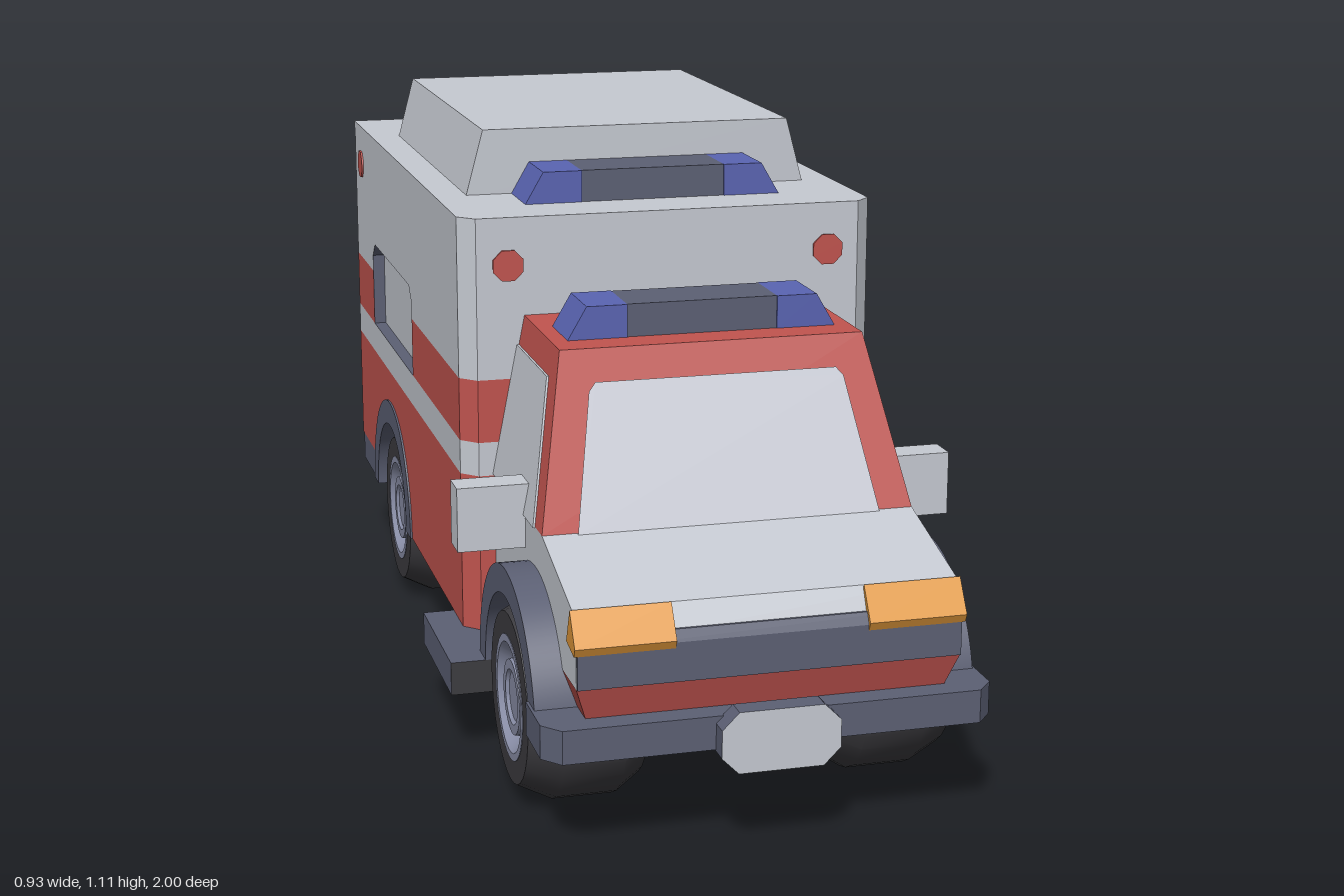
import * as THREE from 'three';
import { toCreasedNormals } from 'three/addons/utils/BufferGeometryUtils.js';

const mat = (name, color, side = THREE.FrontSide) => {
  const m = new THREE.MeshStandardMaterial({ color, side });
  m.name = name;
  return m;
};

export function createModel() {
  const white = mat('white paint', 0xc6cad2);
  const red = mat('red paint', 0xc1544f);
  const slate = mat('slate trim', 0x5c6074);
  const black = mat('tyre black', 0x3d3c40);
  const blue = mat('beacon blue', 0x5a64b2);
  const orange = mat('lamp orange', 0xe0983a);
  const steel = mat('wheel steel', 0x8a8fa8);
  const glass = mat('pale glass', 0xcbced8, THREE.DoubleSide);

  const root = new THREE.Group();
  root.name = 'ambulance';
  const add = (name, geo, material) => {
    const m = new THREE.Mesh(geo, material);
    m.name = name;
    root.add(m);
    return m;
  };
  const poly = (pts) => new THREE.Shape(pts.map(([a, b]) => new THREE.Vector2(a, b)));
  const extrude = (shape, depth) =>
    new THREE.ExtrudeGeometry(shape, { depth, bevelEnabled: false, curveSegments: 24 });
  // Box given by its limits
  const box = (x0, x1, y0, y1, z0, z1) =>
    new THREE.BoxGeometry(x1 - x0, y1 - y0, z1 - z0)
      .translate((x0 + x1) / 2, (y0 + y1) / 2, (z0 + z1) / 2);
  // Side outline in (z, y), extruded from x0 to x1
  const sideways = (shape, x0, x1) =>
    extrude(shape, x1 - x0).rotateY(-Math.PI / 2).translate(x1, 0, 0);
  // Plan outline in (x, z), extruded from y0 to y1
  const upward = (pts, y0, y1) =>
    extrude(poly(pts.map(([x, z]) => [x, -z])), y1 - y0).rotateX(-Math.PI / 2).translate(0, y0, 0);
  // Side slab mirrored to both sides
  const bothSides = (name, shape, x0, x1, material, crease) => {
    for (const s of [1, -1]) {
      let g = s > 0 ? sideways(shape, x0, x1) : sideways(shape, -x1, -x0);
      if (crease) g = toCreasedNormals(g, 0.5);
      add(name, g, material);
    }
  };

  // Rear body: core, front wall, coloured side walls with window recess
  add('bodyCore', box(-0.375, 0.375, 0.44, 0.96, -0.93, 0.27), white);
  add('bodyCoreLower', box(-0.345, 0.345, 0.25, 0.44, -0.93, 0.27), white);
  const bands = [[0.19, 0.495, red], [0.495, 0.56, white], [0.56, 0.68, red], [0.68, 0.95, white]];
  const nose = [[-0.4, 0.26], [0.4, 0.26], [0.37, 0.29], [-0.37, 0.29]];
  for (const [y0, y1, m] of bands) add('bodyFrontWall', upward(nose, y0, y1), m);
  add('bodyRoof', upward([[-0.4, -0.97], [0.4, -0.97], [0.4, 0.26], [0.37, 0.29],
    [-0.37, 0.29], [-0.4, 0.26]], 0.95, 0.985), white);

  const rect = (z0, z1, y0, y1) => poly([[z0, y0], [z1, y0], [z1, y1], [z0, y1]]);
  const lower = poly([[0.26, 0.19], [0.26, 0.495], [-0.965, 0.495], [-0.965, 0.25]]);
  lower.absarc(-0.54, 0.19, 0.2, Math.PI - Math.asin(0.3), 0, true);
  bothSides('lowerSideWall', lower, 0.375, 0.4, [red, slate]);
  bothSides('whiteSideBand', rect(-0.965, 0.26, 0.495, 0.56), 0.375, 0.4, [white, slate]);
  bothSides('redSideStripe', rect(-0.25, 0.26, 0.56, 0.68), 0.375, 0.4, [red, slate]);
  bothSides('redSideStripeRear', rect(-0.965, -0.745, 0.56, 0.68), 0.375, 0.4, [red, slate]);
  bothSides('upperSideWall', poly([[0.26, 0.68], [0.26, 0.95], [-0.965, 0.95], [-0.965, 0.68],
    [-0.745, 0.68], [-0.745, 0.715], [-0.715, 0.745], [-0.28, 0.745], [-0.25, 0.715],
    [-0.25, 0.68]]), 0.375, 0.4, [white, slate]);

  // Back door frame and red door panels
  for (const s of [1, -1]) {
    const [a, b] = s > 0 ? [0.345, 0.399] : [-0.399, -0.345];
    for (const [y0, y1, m] of [[0.25, 0.495, red], [0.495, 0.95, white]]) {
      const faces = Array(6).fill(m);
      faces[s > 0 ? 1 : 0] = slate;
      add('backDoorPost', box(a, b, y0, y1, -0.97, -0.92), faces);
    }
    add('doorPanel', box(s * 0.155 - 0.11, s * 0.155 + 0.11, 0.31, 0.5, -0.935, -0.925), red);
  }
  add('backDoorHeader', box(-0.36, 0.36, 0.92, 0.955, -0.969, -0.92),
    [white, white, white, slate, white, white]);

  // Small red marker lamps
  const dot = () => new THREE.CylinderGeometry(0.031, 0.031, 0.008, 8).rotateY(Math.PI / 8);
  for (const s of [1, -1]) {
    add('frontMarker', dot().rotateX(Math.PI / 2).translate(s * 0.31, 0.895, 0.29), red);
    add('sideMarker', dot().rotateZ(Math.PI / 2).translate(s * 0.4, 0.9, -0.88), red);
  }

  // Roof unit and light bars
  add('roofUnit', extrude(poly([[-0.34, 0.98], [0.34, 0.98], [0.305, 1.11], [-0.305, 1.11]]), 0.77)
    .translate(0, 0, -0.725), white);
  for (const [y, z, d] of [[0.985, 0.04, 0.13], [0.985, -0.85, 0.13], [0.8, 0.39, 0.12]]) {
    add('lightBarCentre', box(-0.14, 0.14, y, y + 0.06, z + 0.003, z + d - 0.003), slate);
    for (const s of [1, -1]) {
      const pts = [[0.14, 0], [0.25, 0], [0.215, 0.06], [0.14, 0.06]].map(([x, h]) => [s * x, y + h]);
      add('beacon', extrude(poly(pts), d).translate(0, 0, z), blue);
    }
  }

  // Cab: side outlines spread to a width that depends on height
  const halfWidth = (y) => y > 0.5 ? 0.34 - 0.2 * (y - 0.5)
    : 0.34 - 0.02 * Math.min(1, Math.max(0, (0.31 - y) / 0.06));
  const cabPart = (name, pts, m, extra = 0) => {
    const g = sideways(poly(pts), -1, 1);
    const p = g.attributes.position;
    for (let i = 0; i < p.count; i++) p.setX(i, Math.sign(p.getX(i)) * (halfWidth(p.getY(i)) + extra));
    g.computeVertexNormals();
    add(name, g, m);
  };
  cabPart('cabTop', [[0.28, 0.5], [0.69, 0.5], [0.575, 0.8], [0.28, 0.8]], red);
  cabPart('cabSideWindow', [[0.285, 0.498], [0.635, 0.498], [0.538, 0.745], [0.285, 0.745]], white, 0.004);
  cabPart('hood', [[0.28, 0.31], [0.94, 0.31], [0.94, 0.38], [0.91, 0.44], [0.69, 0.5], [0.28, 0.5]], white);
  cabPart('cabLower', [[0.28, 0.19], [0.42, 0.19], [0.44, 0.25], [0.92, 0.25], [0.94, 0.31], [0.28, 0.31]], red);
  cabPart('grille', [[0.93, 0.31], [0.945, 0.31], [0.945, 0.38], [0.935, 0.4], [0.92, 0.4]], slate, -0.001);
  const screen = new THREE.ShapeGeometry(poly([[-0.277, 0.498], [0.277, 0.498], [0.235, 0.73],
    [0.222, 0.745], [-0.222, 0.745], [-0.235, 0.73]]));
  const sp = screen.attributes.position;
  for (let i = 0; i < sp.count; i++) sp.setZ(i, 0.695 - (sp.getY(i) - 0.5) * 0.3833);
  screen.computeVertexNormals();
  add('windscreen', screen, glass);
  bothSides('headlamp', poly([[0.89, 0.38], [0.945, 0.37], [0.952, 0.385], [0.915, 0.442]]), 0.17, 0.345, orange);
  for (const s of [1, -1]) {
    add('mirror', box(-0.0675, 0.0675, 0.437, 0.555, 0.495, 0.555).translate(s * 0.3955, 0, 0), white);
  }

  // Wheel arches
  const arch = (z, inner, outer) => {
    const sh = new THREE.Shape();
    sh.absarc(z, 0.19, outer, 0, Math.PI, false);
    sh.absarc(z, 0.19, inner, Math.PI, 0, true);
    return sh;
  };
  bothSides('frontFender', arch(0.635, 0.185, 0.237), 0.3, 0.395, slate, true);
  bothSides('rearArch', arch(-0.54, 0.185, 0.237), 0.34, 0.404, slate, true);

  // Wheels
  const lathe = (pts, s) => toCreasedNormals(
    new THREE.LatheGeometry(pts.map(([r, y]) => new THREE.Vector2(r, y)), 32), 0.6)
    .rotateZ(-s * Math.PI / 2);
  const tyre = [[0, 0.175], [0.155, 0.175], [0.185, 0.22], [0.185, 0.33], [0.155, 0.39], [0.112, 0.39], [0.11, 0.365]];
  const hub = [[0.114, 0.36], [0.114, 0.391], [0.1, 0.391], [0.078, 0.366], [0.072, 0.366],
    [0.068, 0.386], [0.05, 0.386], [0.045, 0.38], [0, 0.38]];
  for (const z of [0.635, -0.54]) for (const s of [1, -1]) {
    add('tyre', lathe(tyre, s), black).position.set(0, 0.187, z);
    add('hub', lathe(hub, s), steel).position.set(0, 0.187, z);
  }

  // Bumpers and blank plates
  add('frontBumper', upward([[-0.4, 0.82], [0.4, 0.82], [0.4, 0.93], [0.37, 0.965],
    [-0.37, 0.965], [-0.4, 0.93]], 0.19, 0.25), slate);
  add('rearBumper', upward([[-0.4, -0.73], [-0.4, -0.95], [-0.38, -0.972], [0.38, -0.972],
    [0.4, -0.95], [0.4, -0.73]], 0.19, 0.25), slate);
  const plate = poly([[-0.105, 0.03], [-0.075, 0], [0.075, 0], [0.105, 0.03],
    [0.105, 0.08], [0.075, 0.11], [-0.075, 0.11], [-0.105, 0.08]]);
  add('frontPlate', extrude(plate, 0.04).translate(0, 0.157, 0.96), [white, slate]);
  add('rearPlate', extrude(plate, 0.04).translate(0, 0.138, -1), [white, slate]);

  // Underside and steps
  add('floor', box(-0.34, 0.34, 0.192, 0.255, -0.9, 0.85), slate);
  add('midFloor', box(-0.378, 0.378, 0.192, 0.255, -0.34, 0.27), slate);
  add('chassis', box(-0.215, 0.215, 0.13, 0.2, -0.73, 0.82), slate);
  add('underStrip', box(-0.09, 0.09, 0.126, 0.132, -0.7, 0.8), black);
  for (const s of [1, -1]) {
    add('step', box(-0.13, 0.13, 0.127, 0.19, 0.165, 0.45).translate(s * 0.33, 0, 0),
      [slate, slate, slate, slate, black, slate]);
  }
  return root;
}
